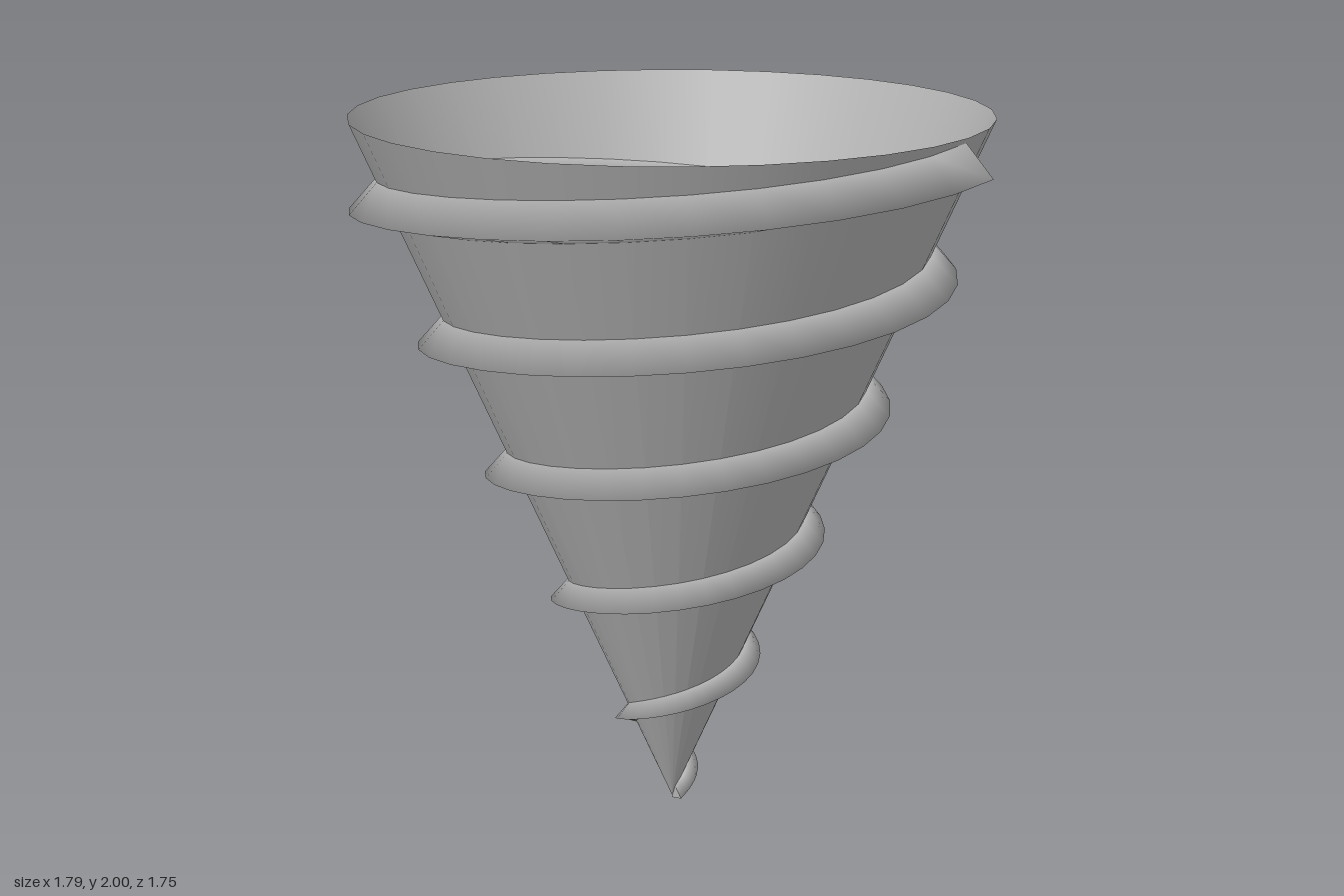
import * as THREE from 'three';

const SIDES = 32;      // facets per turn, shared by shell and thread
const APEX = 0.012;    // height of the tip
const TOP = 2;
const RADIUS = 0.863;  // rim radius
const PITCH = 0.3725;  // rise per turn

const shellRadius = (y) => RADIUS * Math.max(0, y - APEX) / (TOP - APEX);

// Triangular thread swept around the cone, growing with height
function threadGeometry() {
  const positions = [];
  const index = [];
  const first = -1;
  const last = SIDES * 5 + 1;
  const section = (i) => {
    const angle = -i / SIDES * Math.PI * 2;
    const y = 0.0275 + i / SIDES * PITCH;
    const depth = 0.04 + 0.06 * y - 0.011 * y * y;
    const upper = y + 0.75 * depth;
    const lower = Math.max(0, y - 0.27 * depth);
    return [
      [shellRadius(upper) - 0.001, upper],
      [shellRadius(y) + depth, y],
      [shellRadius(lower) - 0.001, lower],
    ].map(([r, h]) => [r * Math.cos(angle), h, r * Math.sin(angle)]);
  };
  for (let i = first; i <= last; i++) positions.push(...section(i).flat());
  for (let i = 0; i < last - first; i++) {
    for (let j = 0; j < 3; j++) {
      const a = i * 3 + j;
      const b = i * 3 + (j + 1) % 3;
      index.push(a, b, b + 3, a, b + 3, a + 3);
    }
  }
  // End caps with their own corners
  for (const [i, flip] of [[first, true], [last, false]]) {
    const n = positions.length / 3;
    positions.push(...section(i).flat());
    index.push(...(flip ? [n + 2, n + 1, n] : [n, n + 1, n + 2]));
  }
  const geometry = new THREE.BufferGeometry();
  geometry.setAttribute('position', new THREE.Float32BufferAttribute(positions, 3));
  geometry.setIndex(index);
  geometry.computeVertexNormals();
  return geometry;
}

export function createModel() {
  const group = new THREE.Group();
  group.name = 'threadedCone';

  const grey = new THREE.MeshStandardMaterial({ color: 0xb4b4b4, side: THREE.DoubleSide });
  grey.name = 'grey';

  // Hollow cone, open at the top
  const profile = [new THREE.Vector2(0, APEX), new THREE.Vector2(RADIUS, TOP)];
  const shell = new THREE.Mesh(new THREE.LatheGeometry(profile, SIDES), grey);
  shell.name = 'coneShell';

  const thread = new THREE.Mesh(threadGeometry(), grey);
  thread.name = 'spiralThread';

  group.add(shell, thread);
  group.position.set(-0.035, 0, -0.012);
  return group;
}
